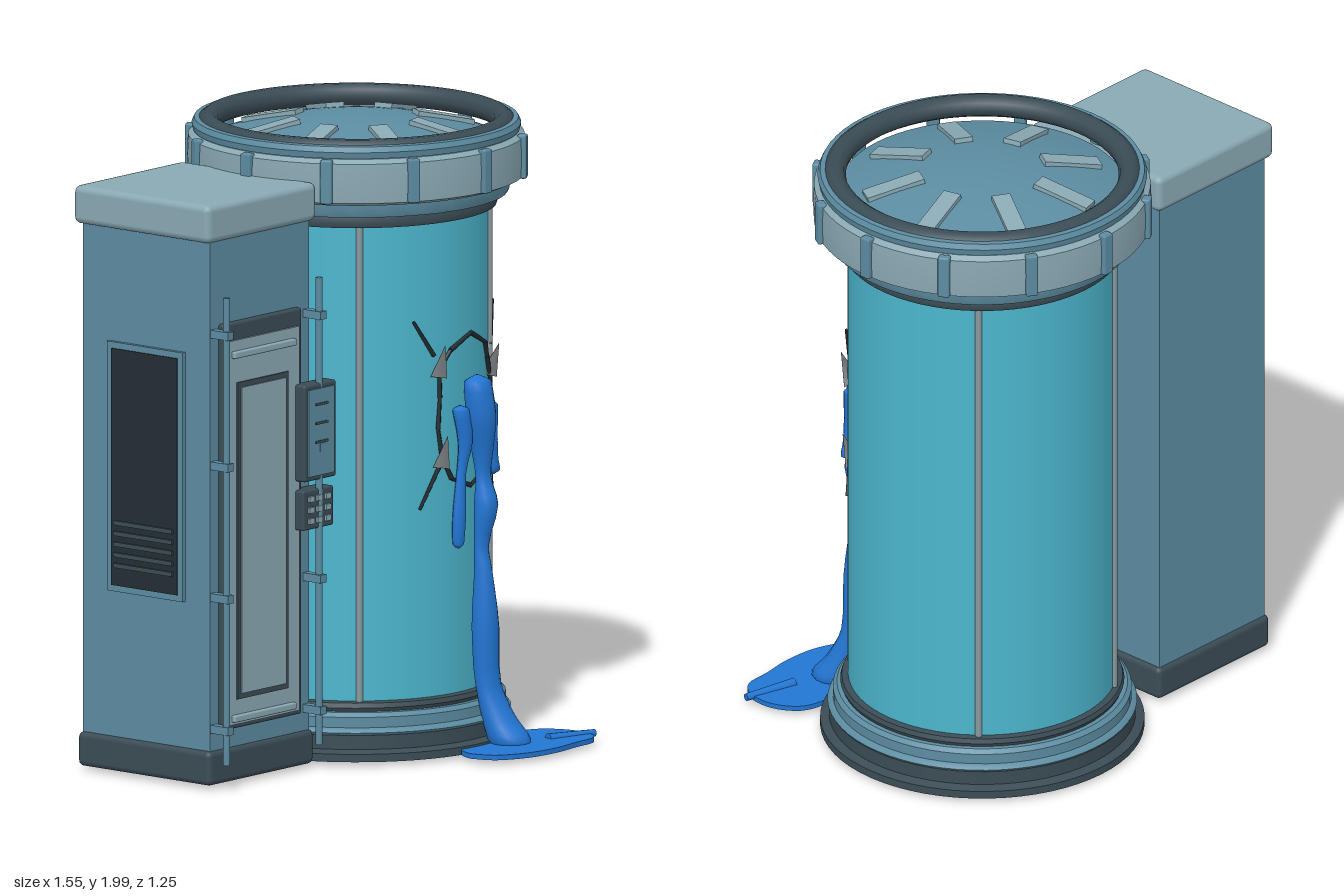
import * as THREE from 'three';
import { toCreasedNormals } from 'three/addons/utils/BufferGeometryUtils.js';
import { RoundedBoxGeometry } from 'three/addons/geometries/RoundedBoxGeometry.js';

const V = (x, y, z) => new THREE.Vector3(x, y, z);
const CX = 0.23, CZ = -0.087, R = 0.42;

function mat(name, color, side = THREE.FrontSide) {
  const m = new THREE.MeshStandardMaterial({ color, side });
  m.name = name;
  return m;
}

export function createModel() {
  const glass = mat('teal glass', 0x4cb6cd);
  const steel = mat('blue steel', 0x5c8ca1);
  const light = mat('light steel', 0x8aa9b4);
  const dark = mat('dark trim', 0x3b4c55);
  const black = mat('near black', 0x232d32);
  const grey = mat('grey strip', 0x8a9ba1);
  const shardMat = mat('shard grey', 0x7d8385, THREE.DoubleSide);
  const fluid = mat('blue fluid', 0x2276d4, THREE.DoubleSide);

  const root = new THREE.Group();
  const group = (name, x = 0, y = 0, z = 0) => {
    const g = new THREE.Group();
    g.name = name;
    g.position.set(x, y, z);
    root.add(g);
    return g;
  };
  const add = (parent, name, geo, m, x = 0, y = 0, z = 0) => {
    const mesh = new THREE.Mesh(geo, m);
    mesh.name = name;
    mesh.position.set(x, y, z);
    parent.add(mesh);
    return mesh;
  };
  // box given by its limits, rounded when r > 0
  const box = (parent, name, m, [x0, x1], [y0, y1], [z0, z1], r = 0) => {
    const s = [x1 - x0, y1 - y0, z1 - z0];
    const geo = r ? new RoundedBoxGeometry(...s, 2, r) : new THREE.BoxGeometry(...s);
    return add(parent, name, geo, m, (x0 + x1) / 2, (y0 + y1) / 2, (z0 + z1) / 2);
  };
  const lathe = (parent, name, m, pts) => add(parent, name, toCreasedNormals(
    new THREE.LatheGeometry(pts.map(p => new THREE.Vector2(...p)), 64), 0.6), m);
  const rod = (parent, name, m, a, b, r0, r1 = r0, n = 8) => {
    const d = b.clone().sub(a);
    const mesh = add(parent, name, new THREE.CylinderGeometry(r1, r0, d.length(), n), m);
    mesh.position.copy(a).add(b).multiplyScalar(0.5);
    mesh.quaternion.setFromUnitVectors(V(0, 1, 0), d.normalize());
    return mesh;
  };

  // ---- Tank ----
  const tank = group('tank', CX, 0, CZ);
  add(tank, 'glassCylinder', new THREE.CylinderGeometry(R, R, 1.56, 64, 1, true), glass, 0, 0.95);
  lathe(tank, 'baseFoot', dark, [[0, 0.02], [0.508, 0.02], [0.508, 0.045], [0.48, 0.055], [0.48, 0.1], [0.4, 0.1]]);
  lathe(tank, 'baseRing', steel, [[0.4, 0.095], [0.475, 0.095], [0.485, 0.108], [0.475, 0.12], [0.468, 0.122], [0.468, 0.155], [0.455, 0.168], [0.4, 0.17]]);
  lathe(tank, 'lowerGasket', dark, [[0.4, 0.165], [0.44, 0.168], [0.445, 0.18], [0.44, 0.195], [0.41, 0.2]]);
  lathe(tank, 'upperGasket', dark, [[0.41, 1.705], [0.44, 1.71], [0.445, 1.725], [0.44, 1.745], [0.4, 1.75]]);
  lathe(tank, 'collar', steel, [[0.4, 1.745], [0.475, 1.75], [0.48, 1.76], [0.48, 1.8], [0.4, 1.8]]);
  lathe(tank, 'lidBand', light, [[0.4, 1.79], [0.5, 1.793], [0.527, 1.805], [0.53, 1.87], [0.527, 1.93], [0.51, 1.943], [0.46, 1.945]]);
  lathe(tank, 'lidFlange', steel, [[0.48, 1.94], [0.512, 1.945], [0.516, 1.965], [0.508, 1.982], [0.485, 1.985], [0.45, 1.975]]);
  const gasket = add(tank, 'lidGasket', new THREE.TorusGeometry(0.463, 0.036, 10, 64), dark, 0, 1.963);
  gasket.rotation.x = Math.PI / 2;

  // domed lid with radial slats
  const drop = 0.075, edge = 0.45, apex = 1.99;
  const domeY = r => apex - drop * (r / edge) ** 2;
  const dome = [];
  for (let i = 8; i >= 0; i--) dome.push([edge * i / 8, domeY(edge * i / 8)]);
  lathe(tank, 'lidDome', steel, dome);
  for (let i = 0; i < 8; i++) {
    const a = Math.PI / 12 + i * Math.PI / 4;
    const arm = new THREE.Group();
    arm.name = 'lidSlat';
    arm.rotation.y = a;
    tank.add(arm);
    const slat = add(arm, 'slat', new THREE.BoxGeometry(0.19, 0.016, 0.06), light, 0.29, domeY(0.29) + 0.004);
    slat.rotation.z = -Math.atan(2 * drop * 0.29 / edge ** 2);
  }
  // clamps round the lid band
  for (let i = 0; i < 12; i++) {
    const a = i * Math.PI / 6;
    const c = add(tank, 'lidClamp', new RoundedBoxGeometry(0.038, 0.14, 0.03, 1, 0.006), steel,
      0.528 * Math.sin(a), 1.873, 0.528 * Math.cos(a));
    c.rotation.y = a;
  }
  // vertical seams on the glass
  for (const deg of [31, 131.5, 211, 311.5]) {
    const a = deg * Math.PI / 180;
    add(tank, 'glassSeam', new THREE.CylinderGeometry(0.011, 0.011, 1.52, 8), grey,
      0.421 * Math.sin(a), 0.95, 0.421 * Math.cos(a));
  }

  // ---- Cabinet ----
  const cab = group('cabinet');
  box(cab, 'cabinetBody', steel, [-0.75, -0.268], [0.1, 1.78], [-0.38, 0.14]);
  box(cab, 'cabinetBase', dark, [-0.765, -0.255], [0.02, 0.13], [-0.392, 0.152], 0.018);
  box(cab, 'cabinetCap', light, [-0.775, -0.245], [1.75, 1.872], [-0.402, 0.155], 0.022);
  // door
  box(cab, 'doorFrame', dark, [-0.707, -0.325], [0.19, 1.485], [0.13, 0.16], 0.008);
  box(cab, 'doorPanel', light, [-0.685, -0.347], [0.205, 1.43], [0.14, 0.167]);
  box(cab, 'doorInsetFrame', dark, [-0.652, -0.405], [0.285, 1.295], [0.15, 0.172]);
  box(cab, 'doorInset', light, [-0.637, -0.42], [0.302, 1.278], [0.15, 0.176]);
  for (const y of [0.225, 1.385])
    box(cab, 'doorBar', light, [-0.675, -0.375], [y - 0.011, y + 0.011], [0.16, 0.182], 0.005);
  // front rails with brackets
  for (const x of [-0.733, -0.284]) {
    rod(cab, 'rail', steel, V(x, 0.09, 0.195), V(x, 1.58, 0.195), 0.011);
    for (const y of [0.2, 0.62, 1.04, 1.46])
      box(cab, 'railBracket', steel, [x - 0.014, x + 0.014], [y - 0.013, y + 0.013], [0.13, 0.212]);
  }
  // control display and keypad
  box(cab, 'displayFrame', dark, [-0.366, -0.212], [0.937, 1.245], [0.15, 0.205], 0.008);
  box(cab, 'displayFace', steel, [-0.352, -0.228], [0.953, 1.23], [0.2, 0.211]);
  for (const y of [1.06, 1.12, 1.18])
    box(cab, 'displayLine', dark, [-0.32, -0.262], [y - 0.004, y + 0.004], [0.209, 0.214]);
  box(cab, 'keypad', dark, [-0.366, -0.22], [0.782, 0.908], [0.14, 0.2], 0.006);
  for (let i = 0; i < 9; i++) {
    const x = -0.333 + (i % 3) * 0.04, y = 0.81 + Math.floor(i / 3) * 0.035;
    box(cab, 'key', light, [x - 0.012, x + 0.012], [y - 0.009, y + 0.009], [0.195, 0.208]);
  }
  // side vent
  box(cab, 'ventFrame', steel, [-0.764, -0.74], [0.595, 1.39], [-0.27, 0.04]);
  box(cab, 'ventPanel', black, [-0.768, -0.75], [0.615, 1.37], [-0.25, 0.02]);
  for (let i = 0; i < 5; i++) {
    const y = 0.68 + i * 0.034;
    box(cab, 'ventLouvre', dark, [-0.775, -0.76], [y - 0.007, y + 0.007], [-0.235, 0.005]);
  }
  // links to the tank
  for (const y of [0.622, 1.235]) {
    rod(cab, 'linkPipe', light, V(-0.28, y, -0.1), V(-0.17, y, -0.1), 0.036, 0.036, 16);
    rod(cab, 'linkFlange', steel, V(-0.27, y, -0.1), V(-0.255, y, -0.1), 0.046, 0.046, 16);
  }
  for (const y of [0.16, 1.66])
    box(cab, 'sideSocket', dark, [-0.275, -0.246], [y - 0.032, y + 0.032], [-0.132, -0.068], 0.008);

  // ---- Broken glass ----
  const breach = group('breach');
  const onGlass = (x, y, off = 0.006) => V(x, y, CZ + Math.sqrt((R + off) ** 2 - (x - CX) ** 2));
  const rim = [[0.14, 1.24], [0.185, 1.295], [0.285, 1.337], [0.385, 1.29], [0.405, 1.24], [0.44, 1.16], [0.425, 1.05],
    [0.435, 0.96], [0.4, 0.89], [0.285, 0.85], [0.19, 0.885], [0.15, 0.96], [0.135, 1.05], [0.142, 1.15]];
  rim.forEach(([x, y], i) => {
    const [u, v] = rim[(i + 1) % rim.length];
    rod(breach, 'rimCrack', black, onGlass(x, y), onGlass(u, v), 0.008, 0.006, 6);
  });
  for (const [x, y, u, v] of [[0.12, 1.285, 0.05, 1.4], [0.445, 1.27, 0.505, 1.4], [0.14, 0.93, 0.07, 0.8], [0.435, 0.92, 0.487, 0.8]])
    rod(breach, 'longCrack', black, onGlass(x, y), onGlass(u, v), 0.007, 0.005, 6);
  // pointed shards leaning out
  for (const [x, y, lean] of [[0.145, 1.26, -0.01], [0.443, 1.215, 0.01], [0.155, 0.97, -0.01], [0.425, 0.915, 0.01]]) {
    const a = onGlass(x, y - 0.04, 0.008), b = onGlass(x + lean, y + 0.06, 0.035);
    rod(breach, 'shard', shardMat, a, b, 0.042, 0.001, 3).scale.z = 0.6;
  }

  // ---- Spilled fluid ----
  const spill = group('spill');
  // loft through ellipses [x, y, z, rx, rz], listed from the top down
  const loft = (name, rows, n = 14) => {
    const pos = [], idx = [];
    const curve = new THREE.CatmullRomCurve3(rows.map(r => V(r[0], r[1], r[2])));
    const radii = new THREE.CatmullRomCurve3(rows.map(r => V(r[3], r[4], 0)));
    const steps = (rows.length - 1) * 3;
    for (let i = 0; i <= steps; i++) {
      const p = curve.getPoint(i / steps), r = radii.getPoint(i / steps);
      for (let j = 0; j < n; j++) {
        const t = j / n * Math.PI * 2, a = i * n + j, d = i * n + (j + 1) % n;
        pos.push(p.x + r.x * Math.sin(t), p.y, p.z + r.y * Math.cos(t));
        if (i < steps) idx.push(a, a + n, d + n, a, d + n, d);
      }
    }
    const g = new THREE.BufferGeometry();
    g.setAttribute('position', new THREE.Float32BufferAttribute(pos, 3));
    g.setIndex(idx);
    g.computeVertexNormals();
    add(spill, name, g, fluid);
  };
  loft('mainStream', [
    [0.28, 1.208, 0.365, 0.003, 0.003], [0.28, 1.185, 0.368, 0.048, 0.04], [0.288, 1.08, 0.375, 0.05, 0.047],
    [0.3, 0.97, 0.37, 0.036, 0.036], [0.303, 0.88, 0.372, 0.028, 0.022], [0.303, 0.79, 0.383, 0.04, 0.038],
    [0.292, 0.66, 0.373, 0.026, 0.022], [0.292, 0.58, 0.381, 0.028, 0.03], [0.3, 0.4, 0.383, 0.046, 0.042],
    [0.308, 0.22, 0.388, 0.046, 0.036], [0.325, 0.11, 0.42, 0.058, 0.052], [0.338, 0.045, 0.45, 0.068, 0.07],
    [0.335, 0.008, 0.45, 0.03, 0.03]]);
  loft('leftDrip', [
    [0.222, 1.115, 0.345, 0.003, 0.003], [0.222, 1.1, 0.348, 0.03, 0.026], [0.235, 1, 0.355, 0.026, 0.022],
    [0.222, 0.9, 0.35, 0.016, 0.015], [0.214, 0.76, 0.348, 0.024, 0.02], [0.212, 0.675, 0.346, 0.02, 0.017],
    [0.212, 0.66, 0.346, 0.003, 0.003]], 10);
  loft('rightDrip', [
    [0.372, 1.11, 0.338, 0.003, 0.003], [0.372, 1.095, 0.34, 0.028, 0.024], [0.372, 1, 0.345, 0.022, 0.02],
    [0.385, 0.93, 0.34, 0.018, 0.018], [0.392, 0.885, 0.335, 0.03, 0.02], [0.395, 0.87, 0.335, 0.003, 0.003]], 10);
  // puddle outline as x, z
  const outline = [[0.11, 0.48], [0.14, 0.56], [0.24, 0.612], [0.36, 0.625], [0.47, 0.613], [0.56, 0.605], [0.607, 0.55],
    [0.61, 0.46], [0.56, 0.38], [0.47, 0.355], [0.36, 0.375], [0.22, 0.385], [0.14, 0.42]];
  const shape = new THREE.Shape(new THREE.SplineCurve(
    [...outline, outline[0]].map(([x, z]) => new THREE.Vector2(x, -z))).getPoints(52).slice(0, -1));
  const puddle = new THREE.ExtrudeGeometry(shape, { depth: 0.016, bevelEnabled: false });
  puddle.rotateX(-Math.PI / 2);
  add(spill, 'puddle', puddle, fluid, 0, 0.022, 0);
  rod(spill, 'puddleStreak', fluid, V(0.46, 0.036, 0.505), V(0.632, 0.036, 0.55), 0.018, 0.012, 8);

  return root;
}
